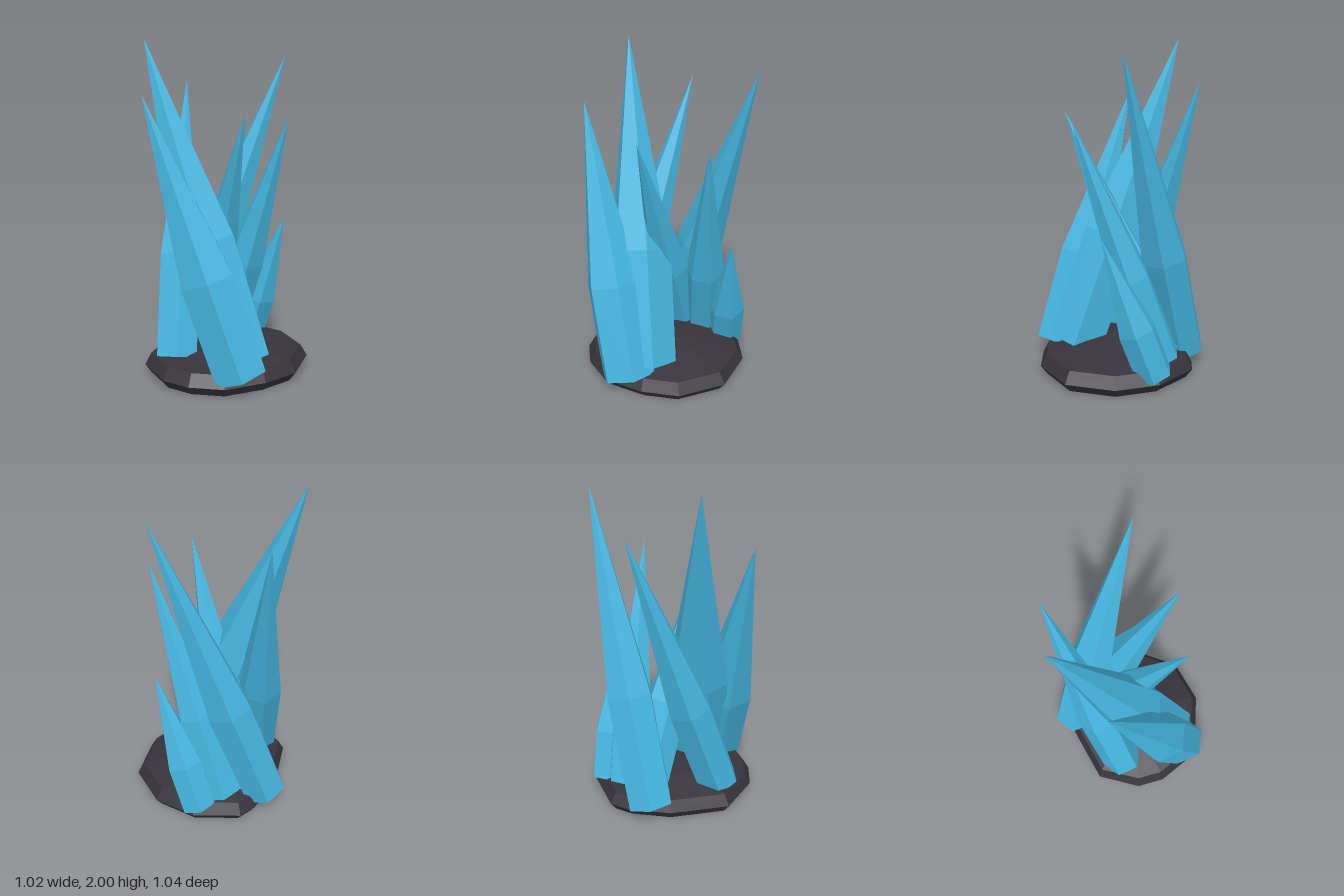
import * as THREE from 'three';

const crystalBlue = new THREE.MeshStandardMaterial({ color: 0x45b5de });
crystalBlue.name = 'crystal blue';
const darkRock = new THREE.MeshStandardMaterial({ color: 0x36333a });
darkRock.name = 'dark rock';

// Separate the faces so that each one is shaded flat
function faceted(geometry) {
  const flat = geometry.index ? geometry.toNonIndexed() : geometry;
  flat.computeVertexNormals();
  return flat;
}

// Six-sided prism that narrows to a point, leaning from its base centre to its tip
function crystal(name, base, tip, radius, shoulder) {
  const start = new THREE.Vector3(...base);
  const axis = new THREE.Vector3(...tip).sub(start);
  const length = axis.length();
  const profile = [
    [0, 0],
    [radius, 0],
    [radius * 1.02, length * shoulder],
    [0, length],
  ].map(([x, y]) => new THREE.Vector2(x, y));
  const geometry = faceted(new THREE.LatheGeometry(profile, 6, Math.PI / 2));
  const mesh = new THREE.Mesh(geometry, crystalBlue);
  mesh.name = name;
  mesh.position.copy(start);
  mesh.quaternion.setFromUnitVectors(new THREE.Vector3(0, 1, 0), axis.normalize());
  return mesh;
}

// Irregular rock slab: one outline scaled at several heights
function rock() {
  const outline = [
    [0.51, -0.02], [0.45, 0.27], [0.21, 0.45], [-0.02, 0.47], [-0.27, 0.42], [-0.42, 0.28],
    [-0.49, 0.12], [-0.46, -0.16], [-0.17, -0.38], [0.08, -0.46], [0.2, -0.46], [0.42, -0.27],
  ];
  // scale and height of each ring, from the middle of the underside to the crown
  const rings = [[0, 0], [0.92, 0], [1, 0.055], [0.92, 0.125], [0.45, 0.175], [0, 0.205]];
  const n = outline.length;
  const positions = [];
  const index = [];
  rings.forEach(([s, y], r) => {
    outline.forEach(([x, z], i) => {
      positions.push(x * s, y, z * s);
      if (r === 0) return;
      const next = (i + 1) % n;
      const a = (r - 1) * n + i, b = (r - 1) * n + next;
      const c = r * n + i, d = r * n + next;
      if (r > 1) index.push(a, c, b);
      if (r < rings.length - 1) index.push(b, c, d);
    });
  });
  const geometry = new THREE.BufferGeometry();
  geometry.setAttribute('position', new THREE.Float32BufferAttribute(positions, 3));
  geometry.setIndex(index);
  const mesh = new THREE.Mesh(faceted(geometry), darkRock);
  mesh.name = 'rockBase';
  return mesh;
}

export function createModel() {
  const model = new THREE.Group();
  model.name = 'crystalCluster';
  model.add(rock());

  // name, base centre, tip, radius, share of the length before the taper
  const crystals = [
    ['frontRightCrystal', [-0.13, 0.09, 0.37], [-0.51, 1.67, -0.05], 0.168, 0.345],
    ['tallCrystal', [-0.05, 0.13, 0.26], [-0.33, 2.0, -0.36], 0.19, 0.36],
    ['rightCrystal', [-0.32, 0.12, -0.02], [0.04, 1.76, -0.48], 0.135, 0.35],
    ['middleCrystal', [0.04, 0.12, -0.29], [-0.07, 1.57, 0.32], 0.13, 0.36],
    ['frontLeftCrystal', [0.19, 0.12, -0.27], [0.31, 1.54, 0.23], 0.12, 0.36],
    ['backCrystal', [-0.045, 0.1, -0.4], [0.51, 1.91, -0.06], 0.143, 0.355],
    ['smallCrystal', [0.345, 0.08, -0.235], [0.42, 0.9, 0.06], 0.112, 0.345],
  ];
  for (const spec of crystals) model.add(crystal(...spec));
  return model;
}
